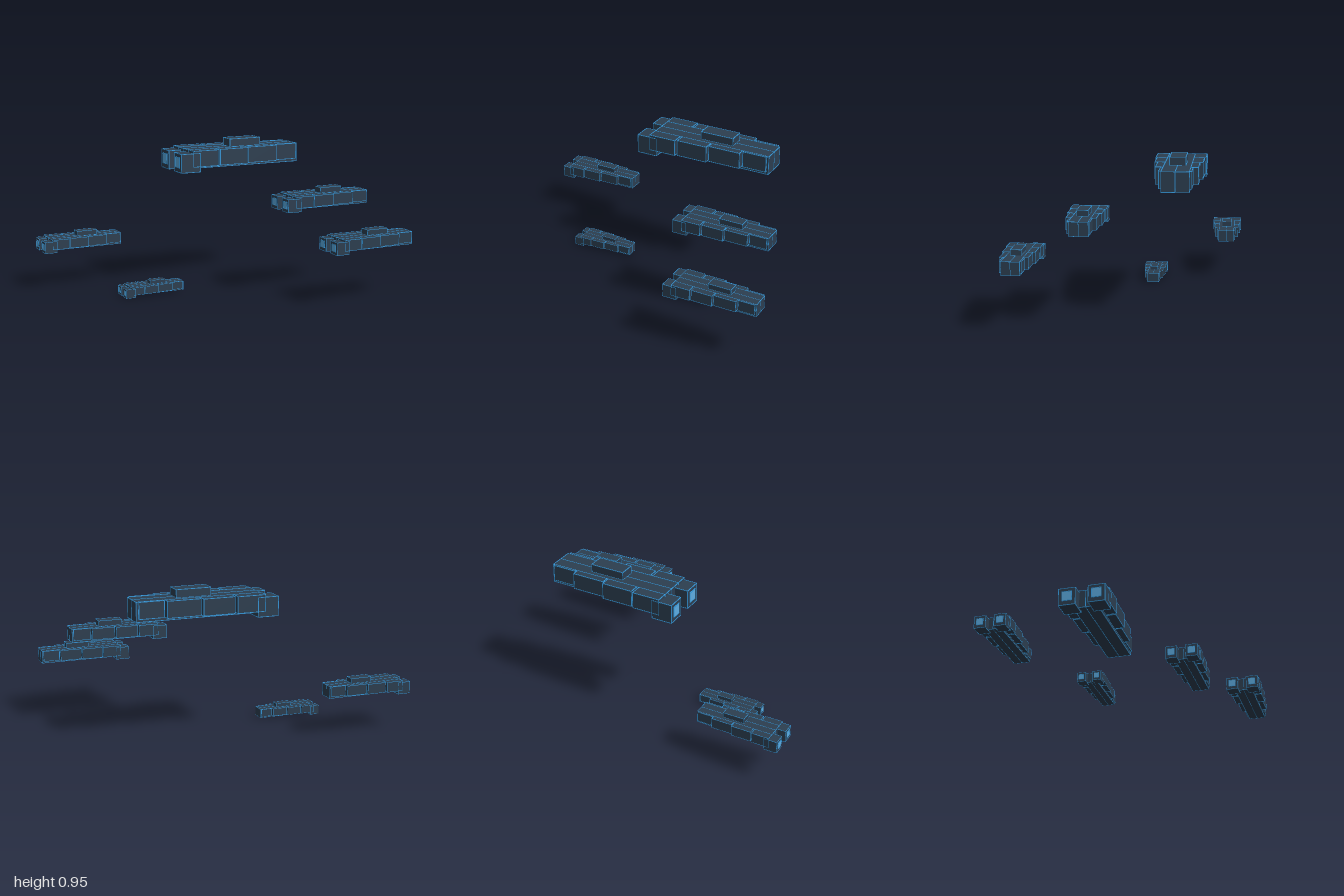
import * as THREE from 'three';
import { mergeGeometries } from 'three/addons/utils/BufferGeometryUtils.js';

const hullMat = new THREE.MeshStandardMaterial({ color: 0x2c3e50 });
hullMat.name = 'dark slate hull';
const glowMat = new THREE.MeshStandardMaterial({ color: 0x5dade2 });
glowMat.name = 'light blue window';
const edgeMat = new THREE.MeshStandardMaterial({ color: 0x3498db });
edgeMat.name = 'blue edge trim';

// box given by its min and max corners
function box(x0, x1, y0, y1, z0, z1) {
  const g = new THREE.BoxGeometry(x1 - x0, y1 - y0, z1 - z0);
  return g.translate((x0 + x1) / 2, (y0 + y1) / 2, (z0 + z1) / 2);
}

// twelve thin bars along the edges of a box
function edgeBars(x0, x1, y0, y1, z0, z1) {
  const t = 0.002, bars = [];
  for (const y of [y0, y1]) for (const z of [z0, z1]) bars.push(box(x0, x1, y - t, y + t, z - t, z + t));
  for (const x of [x0, x1]) for (const z of [z0, z1]) bars.push(box(x - t, x + t, y0, y1, z - t, z + t));
  for (const x of [x0, x1]) for (const y of [y0, y1]) bars.push(box(x - t, x + t, y - t, y + t, z0, z1));
  return bars;
}

function createShip() {
  const ship = new THREE.Group();
  const trim = [];
  const add = (name, geometry, material) => {
    const mesh = new THREE.Mesh(geometry, material);
    mesh.name = name;
    ship.add(mesh);
  };
  const block = (name, ...b) => {
    add(name, box(...b), hullMat);
    trim.push(...edgeBars(...b));
  };

  // raised deckhouse
  block('deckhouse', -0.05, 0.05, 0.137, 0.188, -0.18, 0.045);

  // side sections widening towards the bow: outer half width, back, front
  const sections = [
    [0.098, -0.434, -0.275], [0.13, -0.265, -0.05], [0.15, -0.04, 0.165], [0.16, 0.18, 0.363],
  ];
  for (const side of [-1, 1]) {
    // one half of the central spine, from the keel line to the outside
    const span = (a, b) => [a * side, b * side].sort((p, q) => p - q);
    block('spineHalf', ...span(0, 0.084), 0.014, 0.137, -0.447, 0.363);
    for (const [w, back, front] of sections) {
      block('sideSection', ...span(0.084, w), 0.034, 0.138, back, front);
    }
    // bow pod with a square framed window
    const c = 0.102 * side;
    block('bowPod', c - 0.058, c + 0.058, 0, 0.122, 0.315, 0.45);
    const pane = [c - 0.033, c + 0.033, 0.031, 0.097, 0.449, 0.454];
    add('bowWindow', box(...pane), glowMat);
    trim.push(...edgeBars(...pane));
  }

  add('edgeTrim', mergeGeometries(trim), edgeMat);
  return ship;
}

export function createModel() {
  const fleet = new THREE.Group();
  fleet.name = 'fleet';
  // name, scale, footprint centre x, base y, footprint centre z
  const ships = [
    ['flagship', 1, -0.2325, 0.762, -0.31],
    ['escortUpper', 0.69, 0.417, 0.541, -0.487],
    ['escortLeft', 0.655, 0.817, 0.326, -0.47],
    ['escortRight', 0.608, -0.8315, 0.237, 0.526],
    ['escortSmall', 0.457, -0.261, 0.001, 0.395],
  ];
  for (const [name, s, x, y, z] of ships) {
    const ship = createShip();
    ship.name = name;
    ship.scale.setScalar(s);
    ship.rotation.y = THREE.MathUtils.degToRad(-20);
    ship.position.set(x + 0.031 * s, y, z - 0.014 * s);
    fleet.add(ship);
  }
  return fleet;
}
